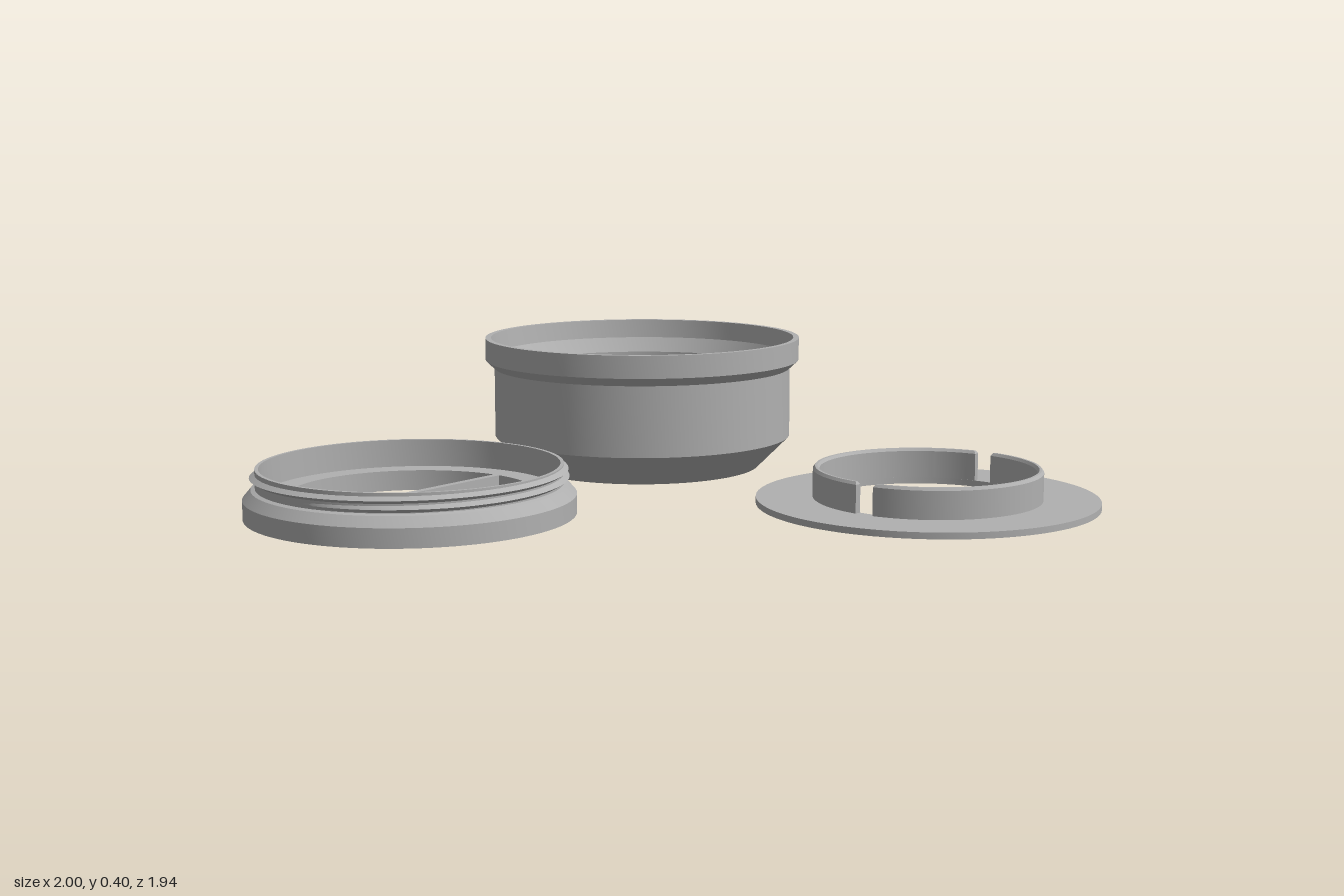
import * as THREE from 'three';
import { toCreasedNormals } from 'three/addons/utils/BufferGeometryUtils.js';
import { ParametricGeometry } from 'three/addons/geometries/ParametricGeometry.js';

const grey = new THREE.MeshStandardMaterial({ color: 0xb0b0b0 });
grey.name = 'greyPlastic';

function part(name, geometry) {
  const mesh = new THREE.Mesh(toCreasedNormals(geometry, 0.4), grey);
  mesh.name = name;
  return mesh;
}

// Closed ring turned from a counter-clockwise [radius, height] profile
function turned(name, profile) {
  const points = [...profile, profile[0]].map(([r, y]) => new THREE.Vector2(r, y));
  return part(name, new THREE.LatheGeometry(points, 96));
}

// Helical V-shaped ridge; side = 1 points outward, -1 inward
function thread(name, radius, depth, y0, pitch, turns, side) {
  const ridge = (u, v, target) => {
    const angle = u * turns * Math.PI * 2;
    const fade = Math.min(1, u * turns * 6, (1 - u) * turns * 6);
    const r = radius + side * (depth * fade * (1 - Math.abs(2 * v - 1)) - 0.001);
    const y = y0 + pitch * turns * u + side * (v - 0.5) * pitch * 0.85;
    target.set(r * Math.sin(angle), y, r * Math.cos(angle));
  };
  return part(name, new ParametricGeometry(ridge, Math.round(turns * 80), 2));
}

function group(name, x, z, ...children) {
  const g = new THREE.Group();
  g.name = name;
  g.position.set(x, 0, z);
  g.add(...children);
  return g;
}

// Half of the split collar, with chamfered edges
function collarHalf(name, turn) {
  const gap = Math.asin(0.026 / 0.31);
  const from = -Math.PI / 2 + gap, to = Math.PI / 2 - gap;
  const shape = new THREE.Shape();
  shape.absarc(0, 0, 0.322, from, to, false);
  shape.absarc(0, 0, 0.303, to, from, true);
  shape.closePath();
  const geometry = new THREE.ExtrudeGeometry(shape, {
    depth: 0.083, curveSegments: 48, bevelEnabled: true,
    bevelSize: 0.006, bevelOffset: -0.006, bevelThickness: 0.008, bevelSegments: 1,
  });
  geometry.rotateX(-Math.PI / 2);
  const mesh = part(name, geometry);
  mesh.rotation.y = turn;
  mesh.position.y = 0.014;
  return mesh;
}

export function createModel() {
  const model = new THREE.Group();
  model.name = 'threadedFitting';

  // Cup with flared rim, chamfered base and internal thread
  model.add(group('cup', -0.518, -0.487,
    turned('cupBody', [
      [0.235, 0], [0.36, 0], [0.455, 0.095], [0.455, 0.305], [0.482, 0.33], [0.482, 0.397],
      [0.465, 0.397], [0.458, 0.34], [0.432, 0.295], [0.432, 0.102], [0.35, 0.02],
      [0.247, 0.02], [0.235, 0.01],
    ]),
    thread('cupThread', 0.432, 0.012, 0.112, 0.027, 6.5, -1)));

  // Screw ring with external thread and a bar across its opening
  const bar = part('crossBar', new THREE.BoxGeometry(0.022, 0.058, 0.684));
  bar.position.y = 0.029;
  model.add(group('screwRing', -0.516, 0.515,
    turned('ringBody', [
      [0.34, 0], [0.455, 0], [0.455, 0.053], [0.432, 0.08], [0.42, 0.084], [0.42, 0.137],
      [0.41, 0.137], [0.41, 0.058], [0.34, 0.058],
    ]),
    thread('ringThread', 0.42, 0.016, 0.092, 0.024, 1.5, 1),
    bar));

  // Flat flange with a split collar
  model.add(group('flange', 0.518, -0.487,
    turned('flangePlate', [[0.303, 0], [0.482, 0], [0.482, 0.018], [0.303, 0.018]]),
    collarHalf('leftCollar', 0),
    collarHalf('rightCollar', Math.PI)));

  return model;
}
